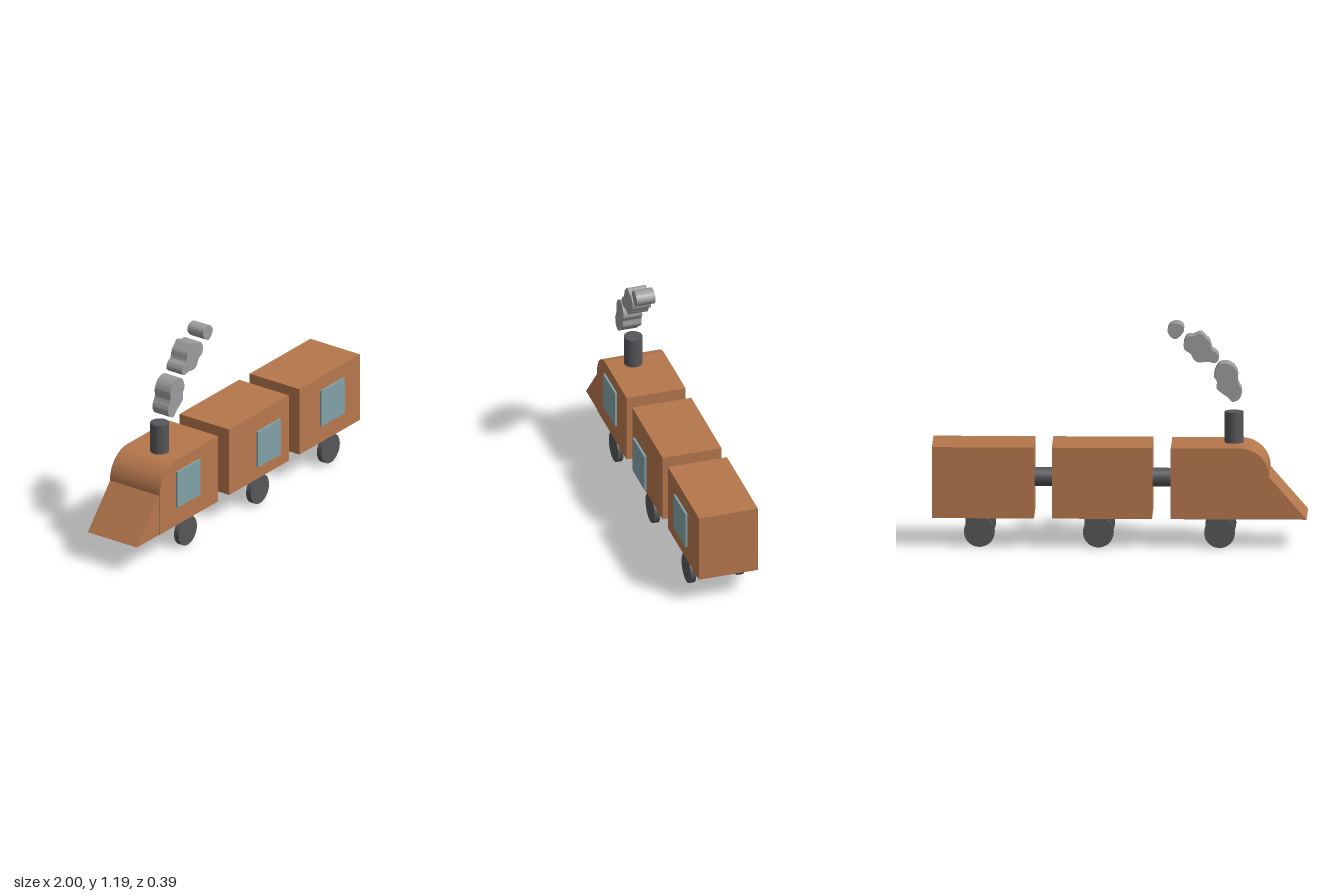
import * as THREE from 'three';

const material = (color) => new THREE.MeshStandardMaterial({ color });
const wood = material(0xb5774c);
const dark = material(0x56565a);
const glass = material(0x82a2a8);
const smoke = material(0x9a9c9e);

// Shared depth range of the bodies
const BACK = -0.19, FRONT = 0.14;

export function createModel() {
  const train = new THREE.Group();
  train.name = 'train';

  const add = (name, geometry, mat, x = 0, y = 0, z = 0) => {
    const mesh = new THREE.Mesh(geometry, mat);
    mesh.name = name;
    mesh.position.set(x, y, z);
    train.add(mesh);
    return mesh;
  };
  const extrude = (shape, depth) =>
    new THREE.ExtrudeGeometry(shape, { depth, bevelEnabled: false, curveSegments: 16 });
  const box = (name, mat, x0, x1, y0, y1, z0, z1) =>
    add(name, new THREE.BoxGeometry(x1 - x0, y1 - y0, z1 - z0), mat,
      (x0 + x1) / 2, (y0 + y1) / 2, (z0 + z1) / 2);

  // Engine body with a rounded front top edge
  const body = new THREE.Shape();
  body.moveTo(-0.8, 0.16);
  body.lineTo(-0.275, 0.16);
  body.lineTo(-0.275, 0.545);
  body.lineTo(-0.645, 0.545);
  body.absarc(-0.645, 0.39, 0.155, Math.PI / 2, Math.PI, false);
  body.closePath();
  add('engineBody', extrude(body, FRONT - BACK), wood, 0, 0, BACK);

  // Sloping wedge at the nose
  const wedge = new THREE.Shape([[-1, 0.16], [-0.8, 0.16], [-0.8, 0.39]]
    .map(([x, y]) => new THREE.Vector2(x, y)));
  add('noseWedge', extrude(wedge, 0.325), wood, 0, 0, -0.188);

  // Two wagons
  box('middleWagon', wood, -0.175, 0.36, 0.16, 0.545, BACK, FRONT);
  box('rearWagon', wood, 0.455, 1, 0.16, 0.545, BACK, FRONT);

  // Couplings between the bodies
  for (const x of [-0.225, 0.4075]) {
    const coupling = add('coupling', new THREE.CylinderGeometry(0.05, 0.05, 0.11, 32), dark, x, 0.358, -0.03);
    coupling.rotation.z = Math.PI / 2;
  }

  // One window per body, each standing slightly off the wall
  for (const [x, z] of [[-0.55, 0.139], [0.1125, 0.184], [0.7275, 0.151]]) {
    box('window', glass, x - 0.1035, x + 0.1035, 0.268, 0.476, z, z + 0.012);
  }

  // Pairs of wheels
  for (const x of [-0.535, 0.112, 0.747]) {
    for (const z of [0.116, -0.155]) {
      const wheel = add('wheel', new THREE.CylinderGeometry(0.082, 0.082, 0.031, 40), dark, x, 0.083, z);
      wheel.rotation.x = Math.PI / 2;
    }
  }

  // Chimney
  add('chimney', new THREE.CylinderGeometry(0.05, 0.05, 0.175, 32), dark, -0.608, 0.6245, -0.002);

  // Smoke puffs: lumpy closed outlines given depth
  const puffs = [
    [[-0.65, 0.82], [-0.635, 0.78], [-0.60, 0.766], [-0.575, 0.79], [-0.54, 0.815], [-0.515, 0.84],
      [-0.517, 0.875], [-0.5, 0.905], [-0.51, 0.94], [-0.53, 0.967], [-0.57, 0.974], [-0.607, 0.955],
      [-0.628, 0.915], [-0.628, 0.87]],
    [[-0.527, 1.0], [-0.51, 0.977], [-0.463, 0.983], [-0.42, 0.978], [-0.393, 0.994], [-0.377, 1.025],
      [-0.345, 1.047], [-0.34, 1.085], [-0.36, 1.117], [-0.393, 1.12], [-0.43, 1.134], [-0.457, 1.112],
      [-0.478, 1.09], [-0.49, 1.048], [-0.515, 1.03]],
    [[-0.34, 1.15], [-0.323, 1.122], [-0.292, 1.104], [-0.265, 1.122], [-0.253, 1.15],
      [-0.27, 1.18], [-0.307, 1.189], [-0.334, 1.176]],
  ];
  for (const [i, points] of puffs.entries()) {
    const outline = new THREE.CatmullRomCurve3(points.map(([x, y]) => new THREE.Vector3(x, y, 0)), true);
    const shape = new THREE.Shape(outline.getPoints(points.length * 3).slice(0, -1)
      .map((p) => new THREE.Vector2(p.x, p.y)));
    add('smokePuff', extrude(shape, 0.104), smoke, 0, 0, -0.019 + i * 0.002);
  }

  return train;
}
